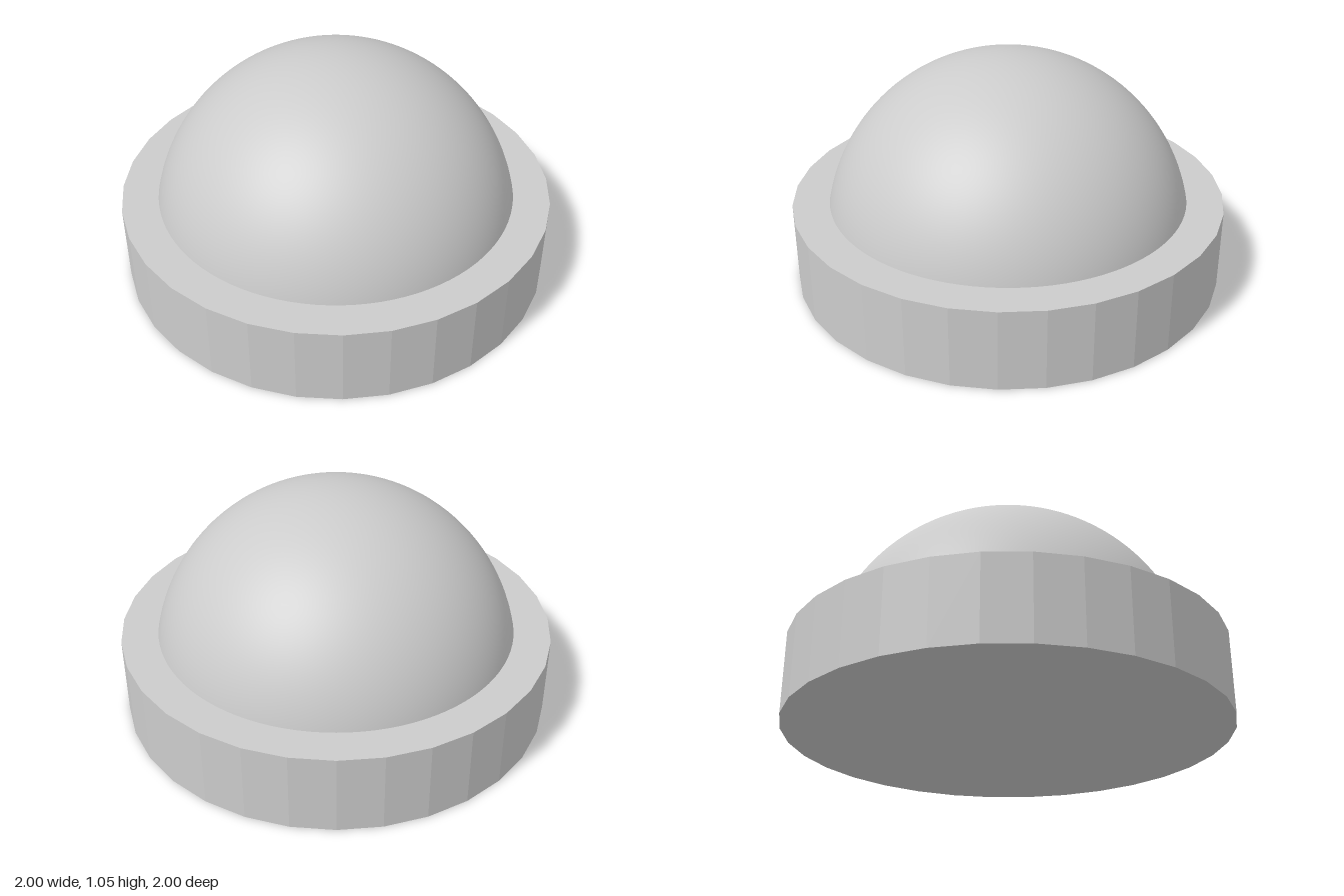
import * as THREE from 'three';

export function createModel() {
  const group = new THREE.Group();
  const baseHeight = 0.375;
  const domeRadius = 0.85;
  const domeTop = 1.045;

  // Faceted round base
  const base = new THREE.Mesh(
    new THREE.CylinderGeometry(1, 1, baseHeight, 32),
    new THREE.MeshStandardMaterial({ color: 0xcccccc, flatShading: true })
  );
  base.name = 'base';
  base.position.y = baseHeight / 2;
  group.add(base);

  // Smooth spherical cap, its rim sunk just below the top of the base
  const rimAngle = Math.acos((baseHeight - 0.02 - (domeTop - domeRadius)) / domeRadius);
  const dome = new THREE.Mesh(
    new THREE.SphereGeometry(domeRadius, 96, 40, 0, Math.PI * 2, 0, rimAngle),
    new THREE.MeshStandardMaterial({ color: 0xcccccc })
  );
  dome.name = 'dome';
  dome.position.y = domeTop - domeRadius;
  group.add(dome);

  return group;
}
